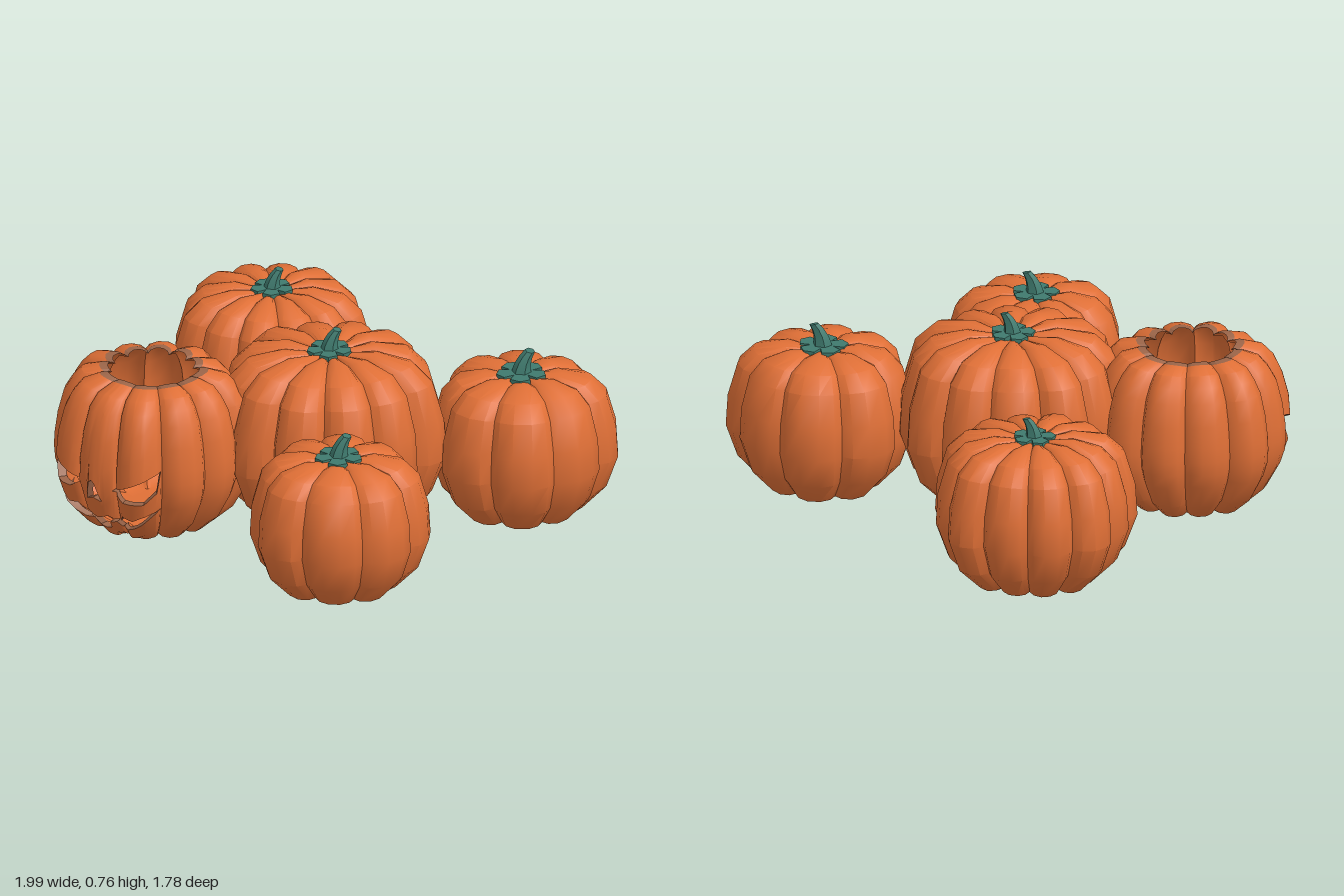
import * as THREE from 'three';
import { toCreasedNormals } from 'three/addons/utils/BufferGeometryUtils.js';

const mat = (name, color) => Object.assign(new THREE.MeshStandardMaterial({ color }), { name });

// Body profile from bottom pole to top pole: [radius, height] as fractions
const PROFILE = [[0, 0.03], [0.42, 0], [0.63, 0.015], [0.88, 0.18], [1, 0.4], [0.98, 0.62],
  [0.88, 0.85], [0.72, 0.955], [0.42, 1], [0.15, 0.98], [0, 0.95]];
const LOBE_STEPS = [0, 0.13, 0.36, 0.64, 0.87];
const RIM = 7.6; // profile position where the carved lid is cut away
const WALL = 0.035;
const FACE_RADIUS = 0.36;

// Carved openings: lower and upper edges as [distance from middle, height]
const MOUTH_LO = [[0, 0.055], [0.035, 0.06], [0.045, 0.095], [0.075, 0.095], [0.085, 0.06],
  [0.13, 0.07], [0.17, 0.1], [0.25, 0.18]];
const MOUTH_HI = [[0, 0.115], [0.05, 0.13], [0.075, 0.112], [0.1, 0.105], [0.12, 0.14],
  [0.16, 0.135], [0.19, 0.155], [0.25, 0.18]];
const EYES_LO = [[0, 0.21], [0.035, 0.195], [0.08, 0.25], [0.13, 0.215], [0.2, 0.22], [0.238, 0.265], [0.25, 0.35]];
const EYES_HI = [[0, 0.285], [0.012, 0.275], [0.035, 0.195], [0.08, 0.25], [0.25, 0.35]];

function lerpTable(table, x) {
  for (let i = 1; i < table.length; i++) {
    const [x0, y0] = table[i - 1], [x1, y1] = table[i];
    if (x <= x1) return y0 + (y1 - y0) * (x - x0) / (x1 - x0);
  }
  return table[table.length - 1][1];
}

function profileAt(t) {
  const i = Math.min(Math.floor(t), PROFILE.length - 2), f = t - i;
  return [0, 1].map(k => PROFILE[i][k] * (1 - f) + PROFILE[i + 1][k] * f);
}

// Profile position of a height fraction on the side wall
function positionOfHeight(h) {
  for (let i = 1; i < 8; i++) {
    const a = PROFILE[i][1], b = PROFILE[i + 1][1];
    if (h <= b) return i + (h - a) / (b - a);
  }
  return 8;
}

// Point on a ribbed pumpkin; angle 0 faces +z, inset moves inwards
function surface(p, angle, t, inset = 0) {
  const q = (angle - p.turn) / (2 * Math.PI) * p.lobes + p.lobes + 1e-6;
  const i = Math.floor(q) % p.lobes, u = q - Math.floor(q);
  const bulge = Math.pow(Math.max(0, Math.sin(Math.PI * u)), 0.6);
  const f = 0.86 + (0.125 + 0.035 * Math.sin(i * 2.4 + p.seed)) * bulge;
  const [pr, py] = profileAt(t);
  const r = Math.max(0, pr * p.radius - inset) * f;
  const mid = p.height * 0.45;
  let y = mid + (py * p.height - mid) * (0.955 + 0.045 * bulge);
  if (inset) y = Math.max(y, inset + 0.005);
  return [r * Math.sin(angle), y, r * Math.cos(angle)];
}

function lobeAngles(p) {
  const out = [];
  for (let i = 0; i < p.lobes; i++)
    for (const u of LOBE_STEPS) out.push(p.turn + (i + u) / p.lobes * 2 * Math.PI);
  return out;
}

const quad = (out, a, b, c, d) => out.push(...a, ...b, ...c, ...a, ...c, ...d);

function toMesh(positions, material, name, crease = 0.65) {
  const g = new THREE.BufferGeometry();
  g.setAttribute('position', new THREE.Float32BufferAttribute(positions, 3));
  const mesh = new THREE.Mesh(toCreasedNormals(g, crease), material);
  mesh.name = name;
  return mesh;
}

function wholeBody(p, skin) {
  const angles = lobeAngles(p), out = [];
  angles.push(angles[0] + 2 * Math.PI);
  for (let c = 0; c < angles.length - 1; c++)
    for (let t = 0; t < PROFILE.length - 1; t++)
      quad(out, surface(p, angles[c], t), surface(p, angles[c + 1], t),
        surface(p, angles[c + 1], t + 1), surface(p, angles[c], t + 1));
  return toMesh(out, skin, 'pumpkinBody');
}

// Hollow pumpkin: each column of the grid is split around the openings
function carvedBody(p, skin, cut) {
  const group = new THREE.Group();
  const wrap = a => Math.atan2(Math.sin(a), Math.cos(a));
  const raw = lobeAngles(p).map(wrap);
  for (const table of [MOUTH_LO, MOUTH_HI, EYES_LO, EYES_HI])
    for (const [x] of table) raw.push(Math.asin(x / FACE_RADIUS), -Math.asin(x / FACE_RADIUS));
  raw.sort((a, b) => a - b);
  const angles = raw.filter((a, i) => i === 0 || a - raw[i - 1] > 0.0005);
  angles.push(angles[0] + 2 * Math.PI);

  const columns = angles.map(a => {
    const x = Math.abs(wrap(a)) < Math.PI / 2 ? FACE_RADIUS * Math.abs(Math.sin(a)) : 1;
    const [m0, m1, e0, e1] = [MOUTH_LO, MOUTH_HI, EYES_LO, EYES_HI]
      .map(table => positionOfHeight(lerpTable(table, x) / p.height));
    const rows = [0, 1];
    for (let k = 1; k <= 3; k++) rows.push(1 + (m0 - 1) * k / 3);
    for (let k = 0; k <= 3; k++) rows.push(m1 + (e0 - m1) * k / 3);
    for (let k = 0; k <= 5; k++) rows.push(e1 + (RIM - e1) * k / 5);
    return { outer: rows.map(t => surface(p, a, t)), inner: rows.map(t => surface(p, a, t, WALL)), rows };
  });

  const outside = [], inside = [], edges = [];
  const ledge = (A, B, r, up) => up
    ? quad(edges, A.outer[r], B.outer[r], B.inner[r], A.inner[r])
    : quad(edges, A.inner[r], B.inner[r], B.outer[r], A.outer[r]);
  for (let c = 0; c < columns.length - 1; c++) {
    const A = columns[c], B = columns[c + 1], last = A.rows.length - 1;
    for (let r = 0; r < last; r++) {
      if (r === 4 || r === 8) { // mouth row, then eyes and nose row
        if (A.rows[r + 1] - A.rows[r] + B.rows[r + 1] - B.rows[r] > 1e-4) {
          ledge(A, B, r, true);
          ledge(A, B, r + 1, false);
        }
        continue;
      }
      quad(outside, A.outer[r], B.outer[r], B.outer[r + 1], A.outer[r + 1]);
      quad(inside, B.inner[r], A.inner[r], A.inner[r + 1], B.inner[r + 1]);
    }
    ledge(A, B, last, true);
  }
  group.add(toMesh(outside, skin, 'carvedShell'), toMesh(inside, skin, 'hollowInside'),
    toMesh(edges, cut, 'cutEdges', 0.3));
  return group;
}

// Five-petalled leaf collar with a bent, tapering stalk
function makeStem(green, size) {
  const group = new THREE.Group();
  const shape = new THREE.Shape();
  for (let i = 0; i < 5; i++) {
    [[0.045, -0.6], [0.088, -0.46], [0.1, 0], [0.088, 0.46]].forEach(([r, d], k) => {
      const a = i * Math.PI * 0.4 + d + Math.PI / 2;
      shape[i + k === 0 ? 'moveTo' : 'lineTo'](r * Math.cos(a), r * Math.sin(a));
    });
  }
  const leaf = new THREE.Mesh(new THREE.ExtrudeGeometry(shape, { depth: 0.022, bevelEnabled: false }).rotateX(-Math.PI / 2), green);
  leaf.position.y = -0.012;
  leaf.name = 'leafCollar';

  const g = new THREE.CylinderGeometry(0.019, 0.04, 0.1, 6, 4).translate(0, 0.05, 0);
  const pos = g.attributes.position;
  for (let i = 0; i < pos.count; i++) {
    const t = pos.getY(i) / 0.1;
    pos.setX(i, pos.getX(i) + 0.022 * t * t);
    pos.setZ(i, pos.getZ(i) - 0.026 * t * t);
    pos.setY(i, pos.getY(i) - pos.getX(i) * 0.25 * t);
  }
  const stalk = new THREE.Mesh(toCreasedNormals(g, 0.5), green);
  stalk.name = 'stalk';
  group.add(leaf, stalk);
  group.scale.setScalar(size);
  group.name = 'stem';
  return group;
}

export function createModel() {
  const skin = mat('pumpkinOrange', 0xdf6f36);
  const cut = mat('cutFlesh', 0x9a6448);
  const green = mat('stemGreen', 0x3f7a6e);
  const model = new THREE.Group();
  model.name = 'pumpkinPatch';

  const pumpkins = [
    { name: 'centrePumpkin', x: 0.07, z: -0.01, radius: 0.46, height: 0.68, lobes: 12, turn: 0.1, seed: 1, stem: 0.9 },
    { name: 'backRightPumpkin', x: -0.6, z: -0.49, radius: 0.4, height: 0.585, lobes: 12, turn: 0.25, seed: 2, stem: 0.85 },
    { name: 'backLeftPumpkin', x: 0.64, z: -0.48, radius: 0.37, height: 0.575, lobes: 8, turn: 0.3, seed: 3, stem: 1 },
    { name: 'frontLeftPumpkin', x: 0.55, z: 0.53, radius: 0.355, height: 0.545, lobes: 8, turn: 0.2, seed: 4, stem: 0.95 },
    { name: 'carvedPumpkin', x: -0.41, z: 0.48, radius: 0.4, height: 0.645, lobes: 12, turn: -Math.PI / 12, seed: 5, carved: true },
  ];
  for (const p of pumpkins) {
    const group = new THREE.Group();
    group.name = p.name;
    group.position.set(p.x, 0, p.z);
    if (p.carved) group.add(carvedBody(p, skin, cut));
    else {
      const stem = makeStem(green, p.stem);
      stem.position.y = p.height * 0.98;
      group.add(wholeBody(p, skin), stem);
    }
    model.add(group);
  }
  return model;
}
